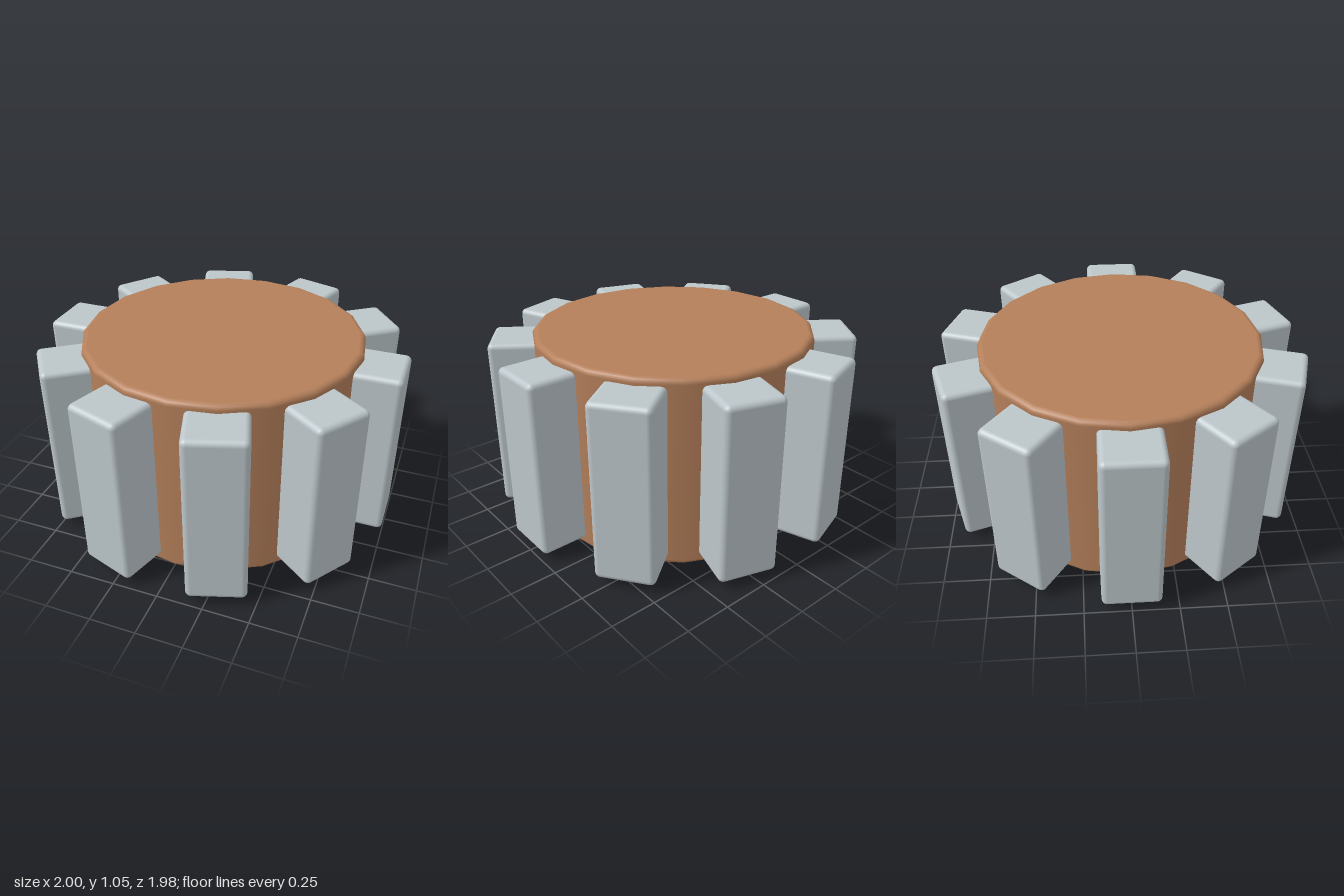
import * as THREE from 'three';
import { RoundedBoxGeometry } from 'three/addons/geometries/RoundedBoxGeometry.js';

const SIDES = 20, TEETH = 10;
const RADIUS = 0.773, HEIGHT = 1.05, BEVEL = 0.03;

export function createModel() {
  const brown = new THREE.MeshStandardMaterial({ color: 0xb47f5a });
  brown.name = 'copper brown';
  const grey = new THREE.MeshStandardMaterial({ color: 0xbcc6ca });
  grey.name = 'steel grey';

  const group = new THREE.Group();
  group.name = 'gear';
  const add = (name, geometry, material, parent = group) => {
    const mesh = new THREE.Mesh(geometry, material);
    mesh.name = name;
    parent.add(mesh);
    return mesh;
  };

  // Drum wall with rounded rims, profile from bottom to top
  const profile = [];
  for (const [cy, start] of [[BEVEL, -Math.PI / 2], [HEIGHT - BEVEL, 0]]) {
    for (let i = 0; i <= 4; i++) {
      const a = start + (i / 4) * Math.PI / 2;
      profile.push(new THREE.Vector2(RADIUS - BEVEL + BEVEL * Math.cos(a), cy + BEVEL * Math.sin(a)));
    }
  }
  add('drumWall', new THREE.LatheGeometry(profile, SIDES), brown);

  // Flat end caps
  const cap = new THREE.CircleGeometry(RADIUS - BEVEL, SIDES);
  const top = add('topCap', cap, brown);
  top.rotation.x = -Math.PI / 2;
  top.position.y = HEIGHT;
  add('bottomCap', cap, brown).rotation.x = Math.PI / 2;

  // Ring of rounded teeth, sunk into the drum
  const teeth = new THREE.Group();
  teeth.name = 'teeth';
  group.add(teeth);
  const inner = 0.5, outer = 1.0;
  const toothShape = new RoundedBoxGeometry(outer - inner, 0.965, 0.316, 3, 0.03);
  toothShape.translate((inner + outer) / 2, 0.5275, 0);
  for (let i = 0; i < TEETH; i++) {
    add(`tooth${i + 1}`, toothShape, grey, teeth).rotation.y = (i / TEETH) * Math.PI * 2;
  }

  return group;
}
